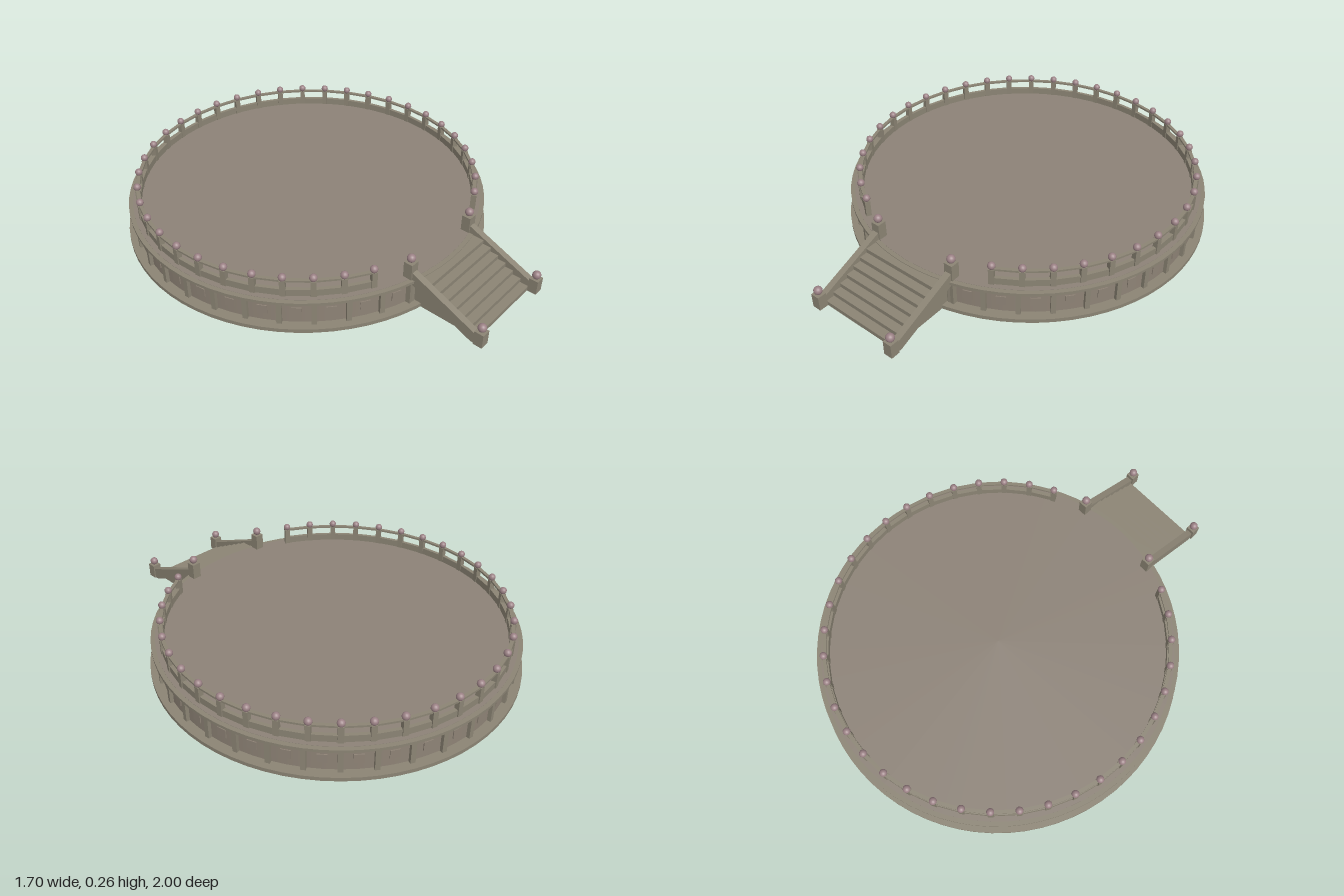
import * as THREE from 'three';

const CZ = -0.15;     // centre of the round terrace
const FLOOR = 0.145;  // height of the deck

function material(name, color) {
  const m = new THREE.MeshStandardMaterial({ color });
  m.name = name;
  return m;
}

export function createModel() {
  const trim = material('trim stone', 0x8b8474);
  const wall = material('wall stone', 0x8e8376);
  const paving = material('paving stone', 0x8c8277);
  const finial = material('rose finial', 0x9c8286);

  const model = new THREE.Group();
  model.name = 'roundTerrace';

  const group = (name) => {
    const g = new THREE.Group();
    g.name = name;
    model.add(g);
    return g;
  };
  const add = (parent, name, geometry, mat, x = 0, y = 0, z = 0) => {
    const mesh = new THREE.Mesh(geometry, mat);
    mesh.name = name;
    mesh.position.set(x, y, z);
    parent.add(mesh);
    return mesh;
  };
  // Places a mesh on a ring around the terrace; angle 0 faces the front
  const addRound = (parent, name, geometry, mat, degrees, radius, y) => {
    const a = THREE.MathUtils.degToRad(degrees);
    const mesh = add(parent, name, geometry, mat, Math.sin(a) * radius, y, CZ + Math.cos(a) * radius);
    mesh.rotation.y = a;
    return mesh;
  };
  const disc = (name, radius, y0, y1, mat) =>
    add(model, name, new THREE.CylinderGeometry(radius, radius, y1 - y0, 72), mat, 0, (y0 + y1) / 2, CZ);

  // Round platform, from the ground up
  disc('plinth', 0.85, 0, 0.018, trim);
  disc('drum', 0.805, 0.018, 0.132, wall);
  disc('cornice', 0.835, 0.132, FLOOR, trim);
  disc('deck', 0.815, FLOOR, FLOOR + 0.001, paving);

  // Pilasters and small plaques around the wall, skipping the stairs
  const facade = group('facade');
  const pilaster = new THREE.BoxGeometry(0.022, 0.114, 0.024);
  const plaque = new THREE.BoxGeometry(0.042, 0.042, 0.009);
  for (let i = 0; i < 36; i++) {
    addRound(facade, 'pilaster', pilaster, trim, i * 10 + 5, 0.809, 0.075);
    if (i > 1 && i < 35) addRound(facade, 'plaque', plaque, wall, i * 10, 0.804, 0.075);
  }

  // Balustrade, open at the front
  const balustrade = group('balustrade');
  const R = 0.785;
  const span = 2 * R * Math.sin(Math.PI / 40);
  const post = new THREE.BoxGeometry(0.024, 0.077, 0.024);
  const ball = new THREE.SphereGeometry(0.017, 14, 10);
  const parapet = new THREE.BoxGeometry(span, 0.033, 0.016);
  const rail = new THREE.BoxGeometry(span, 0.009, 0.016);
  for (let i = 3; i <= 37; i++) {
    addRound(balustrade, 'post', post, trim, i * 9, R, FLOOR + 0.0385);
    addRound(balustrade, 'postBall', ball, finial, i * 9, R, 0.236);
    if (i === 37) continue;
    const mid = R * Math.cos(Math.PI / 40);
    addRound(balustrade, 'parapet', parapet, trim, i * 9 + 4.5, mid, FLOOR + 0.0165);
    addRound(balustrade, 'handrail', rail, trim, i * 9 + 4.5, mid, 0.221);
  }

  // Front steps, one solid stepped profile extruded across
  const stairs = group('stairs');
  const rise = 0.142 / 7, tread = 0.04, front = 0.957;
  const profile = new THREE.Shape();
  profile.moveTo(0.6, 0);
  profile.lineTo(front, 0);
  for (let i = 0; i < 7; i++) {
    profile.lineTo(front - i * tread, (i + 1) * rise);
    profile.lineTo(i < 6 ? front - (i + 1) * tread : 0.6, (i + 1) * rise);
  }
  // Extrudes a (z, y) profile along x, centred on the given x
  const across = (name, shape, width, x, mat) => {
    const g = new THREE.ExtrudeGeometry(shape, { depth: width, bevelEnabled: false });
    g.translate(0, 0, -width / 2);
    g.rotateY(-Math.PI / 2);
    add(stairs, name, g, mat, x);
  };
  across('steps', profile, 0.39, 0, trim);

  // Sloping side rails with a newel post at each end
  const slope = new THREE.Shape([
    new THREE.Vector2(0.62, 0.13), new THREE.Vector2(0.62, 0.19),
    new THREE.Vector2(0.975, 0.042), new THREE.Vector2(0.975, 0),
    new THREE.Vector2(0.94, 0),
  ]);
  const newelBall = new THREE.SphereGeometry(0.019, 16, 12);
  for (const x of [-0.208, 0.208]) {
    across('stairRail', slope, 0.03, x, trim);
    add(stairs, 'lowerNewel', new THREE.BoxGeometry(0.042, 0.068, 0.042), trim, x, 0.034, 0.978);
    add(stairs, 'lowerNewelBall', newelBall, finial, x, 0.086, 0.978);
    add(stairs, 'upperNewel', new THREE.BoxGeometry(0.042, 0.222, 0.042), trim, x, 0.111, 0.622);
    add(stairs, 'upperNewelBall', newelBall, finial, x, 0.24, 0.622);
  }
  return model;
}
